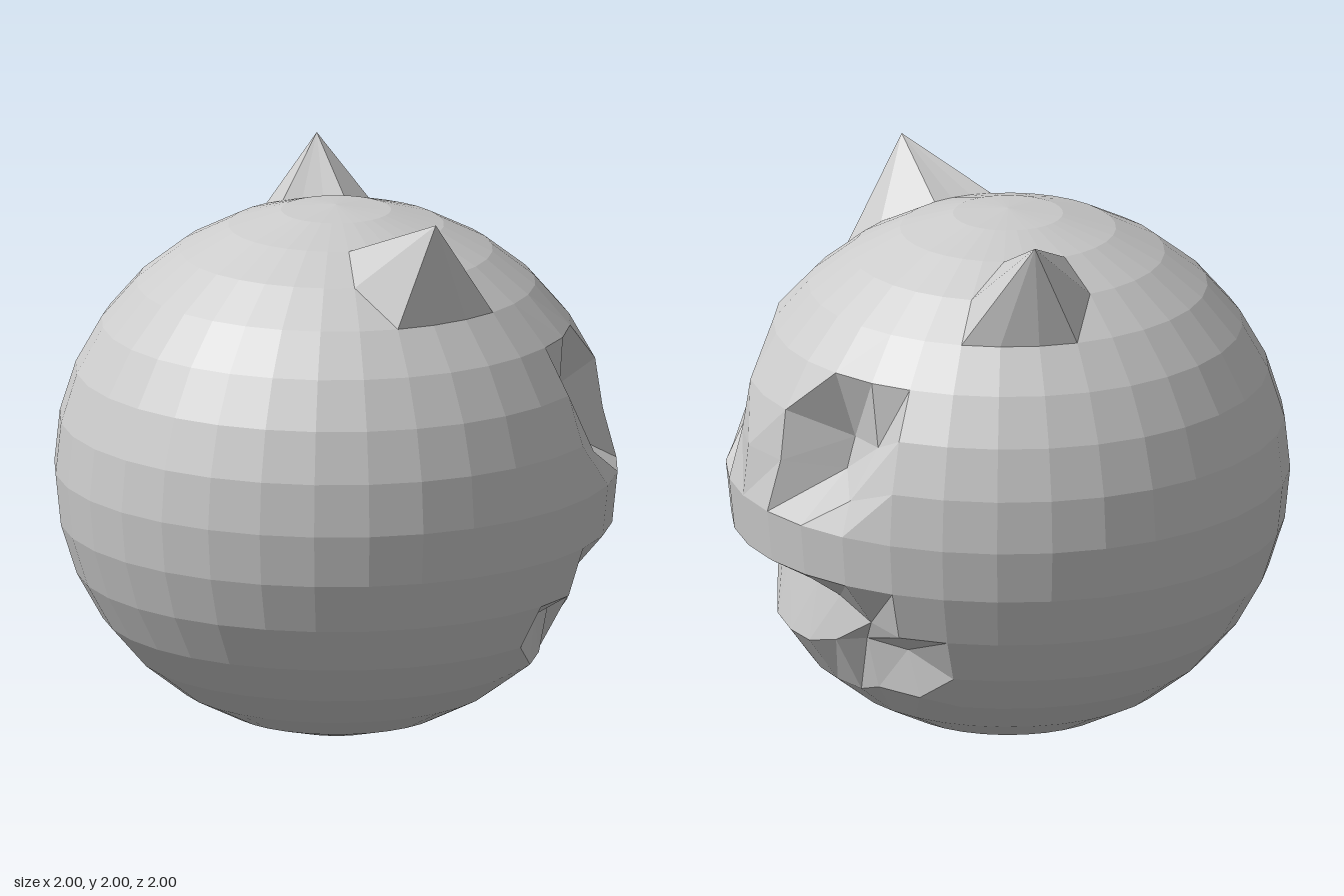
import * as THREE from 'three';

const SEGS = 32, ROWS = 16;
const MID = 0.962, RY = 0.957;

// Sculpted points, keyed by 'row,segment': row 0 is the equator,
// segment 0 faces +x and segments count towards +z. Mirrored to -z.
const TIP = [0.15, 2.0, 0.68];
const SCULPT = {
  // eye socket
  '1,1': [0.93, 1.147, 0.195],
  '1,2': [0.71, 1.12, 0.28],
  '1,3': [0.79, 1.08, 0.52],
  '2,2': [0.68, 1.235, 0.28],
  '2,3': [0.67, 1.255, 0.485],
  '3,3': [0.69, 1.495, 0.475],
  // upper mouth line
  '-2,0': [0.77, 0.67, 0],
  '-2,1': [0.77, 0.66, 0.145],
  '-2,2': [0.74, 0.65, 0.29],
  '-2,3': [0.69, 0.6, 0.47],
  // lower lip
  '-3,0': [0.82, 0.44, 0],
  '-3,1': [0.81, 0.45, 0.16],
  '-3,2': [0.76, 0.49, 0.3],
  '-3,3': [0.67, 0.51, 0.375],
  '-3,4': [0.57, 0.5, 0.52],
  // chin corners
  '-4,3': [0.63, 0.325, 0.385],
  '-4,4': [0.54, 0.33, 0.56],
  // ear: three neighbouring points drawn up into one tip
  '5,6': TIP,
  '5,7': TIP,
  '5,8': TIP,
};

// Point of the head at a given row and segment
function headPoint(row, seg) {
  const s = seg > SEGS / 2 ? seg - SEGS : seg;
  const moved = SCULPT[`${row},${Math.abs(s)}`];
  if (moved) return [moved[0], moved[1], s < 0 ? -moved[2] : moved[2]];
  const lat = (row / ROWS) * Math.PI;
  const lon = (s / SEGS) * Math.PI * 2;
  const r = Math.cos(lat);
  return [r * Math.cos(lon), MID + RY * Math.sin(lat), r * Math.sin(lon)];
}

function headGeometry() {
  const positions = [], index = [];
  const half = ROWS / 2;
  for (let row = -half; row <= half; row++)
    for (let seg = 0; seg < SEGS; seg++) positions.push(...headPoint(row, seg));

  for (let j = 0; j < ROWS; j++) {
    for (let i = 0; i < SEGS; i++) {
      const n = (i + 1) % SEGS;
      const a = j * SEGS + i, b = j * SEGS + n;
      const c = a + SEGS, d = b + SEGS;
      // diagonals mirror across the face
      if (i < SEGS / 2) {
        if (j < ROWS - 1) index.push(a, c, d);
        if (j > 0) index.push(a, d, b);
        if (j === ROWS - 1) index.push(a, c, b);
      } else {
        if (j < ROWS - 1) index.push(b, c, d);
        if (j > 0) index.push(a, c, b);
      }
    }
  }
  const geo = new THREE.BufferGeometry();
  geo.setAttribute('position', new THREE.Float32BufferAttribute(positions, 3));
  geo.setIndex(index);
  const flat = geo.toNonIndexed();
  flat.computeVertexNormals();
  return flat;
}

export function createModel() {
  const group = new THREE.Group();
  group.name = 'carvedRoundHead';
  const material = new THREE.MeshStandardMaterial({
    color: 0xcccccc, flatShading: true, side: THREE.DoubleSide,
  });
  const head = new THREE.Mesh(headGeometry(), material);
  head.name = 'headWithEarsEyesAndMouth';
  group.add(head);
  return group;
}
